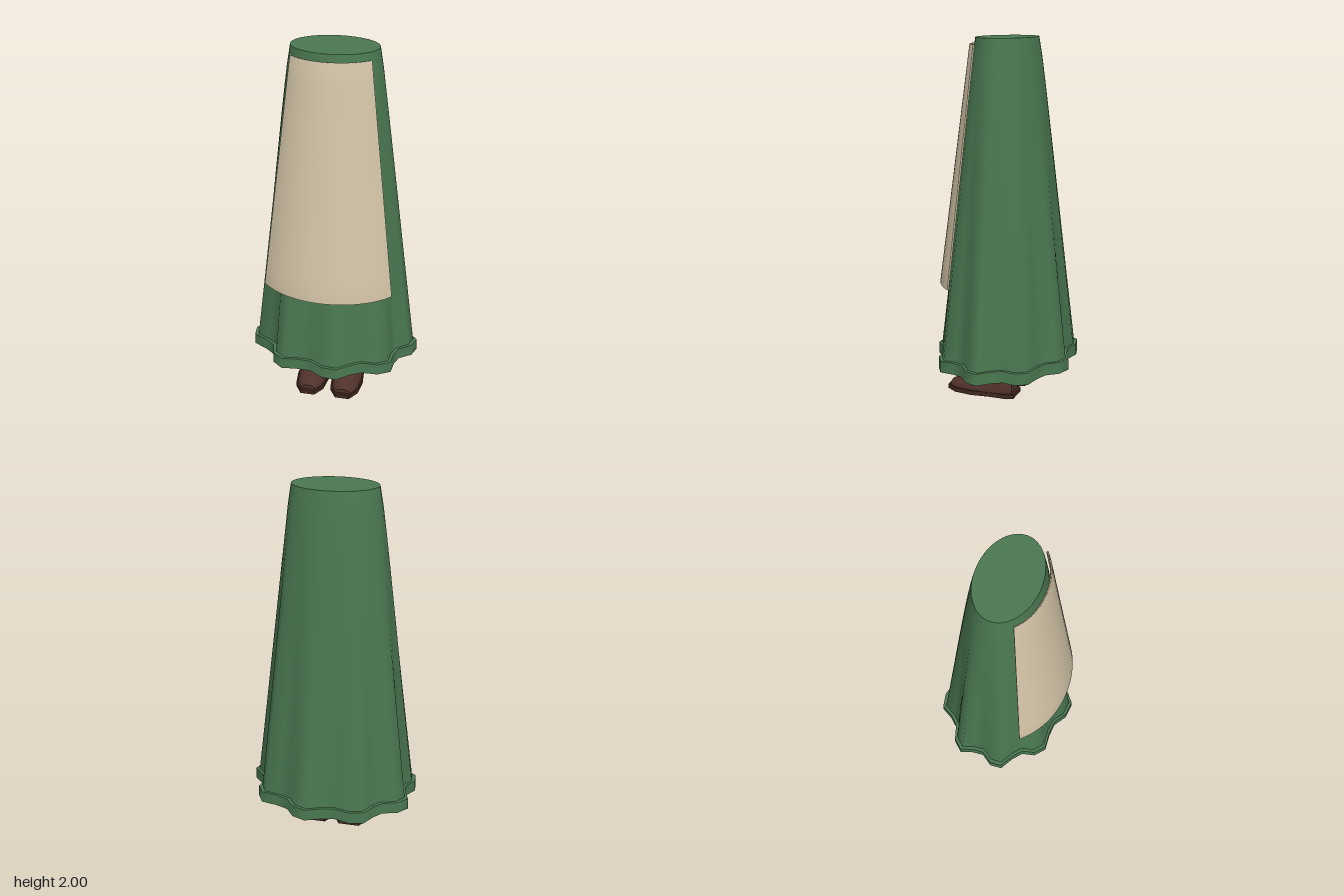
import * as THREE from 'three';

const CX = -0.01; // shared centre line of the garment

const green = new THREE.MeshStandardMaterial({ name: 'skirtGreen', color: 0x4a7850 });
const cream = new THREE.MeshStandardMaterial({ name: 'apronCream', color: 0xd4c5a8 });
const brown = new THREE.MeshStandardMaterial({ name: 'bootBrown', color: 0x50322a });
const darkBrown = new THREE.MeshStandardMaterial({ name: 'soleBrown', color: 0x42271f });

function mesh(name, geometry, material) {
  const m = new THREE.Mesh(geometry, material);
  m.name = name;
  return m;
}

// Skin a list of closed rings, with smooth sides and sharp flat caps.
function loft(rings) {
  const n = rings[0].length;
  const pos = rings.flat(2);
  const index = [];
  for (let j = 0; j < rings.length - 1; j++) {
    for (let i = 0; i < n; i++) {
      const a = j * n + i, b = j * n + (i + 1) % n;
      index.push(a, a + n, b, b, a + n, b + n);
    }
  }
  for (const end of [false, true]) {
    const ring = end ? rings[rings.length - 1] : rings[0];
    const start = pos.length / 3;
    const mid = [0, 1, 2].map((k) => ring.reduce((s, p) => s + p[k], 0) / n);
    pos.push(...ring.flat(), ...mid);
    for (let i = 0; i < n; i++) {
      const a = start + i, b = start + (i + 1) % n;
      index.push(start + n, end ? b : a, end ? a : b);
    }
  }
  const g = new THREE.BufferGeometry();
  g.setAttribute('position', new THREE.Float32BufferAttribute(pos, 3));
  g.setIndex(index);
  g.computeVertexNormals();
  return g;
}

// Elliptical ring with nine soft pleats.
function pleatedRing(y, rx, rz, pleat) {
  return Array.from({ length: 36 }, (_, i) => {
    const t = (i / 36) * Math.PI * 2;
    const wave = pleat * (0.032 * Math.cos(9 * t) + 0.018 * Math.sin(9 * t));
    const k = 1 + wave / rx;
    return [CX + rx * k * Math.cos(t), y, rz * k * Math.sin(t)];
  });
}

function skirtGeometry() {
  const rings = [];
  for (let j = 0; j <= 16; j++) {
    const d = 1 - j / 16; // 1 at the hem, 0 at the waist
    const bulge = 0.008 * Math.sin(Math.PI * Math.sqrt(d));
    rings.push(pleatedRing(2 - 1.79 * d, 0.235 + 0.201 * d + bulge,
      0.161 + 0.197 * d + bulge, Math.pow(d, 1.3)));
  }
  return loft(rings);
}

// Curved apron slab, swept sideways around the front.
function apronGeometry() {
  const rows = 10, columns = 24, rings = [];
  for (let c = 0; c <= columns; c++) {
    const t = THREE.MathUtils.degToRad(36 + (108 * c) / columns);
    const at = (v, inset) => [
      CX + (0.263 + 0.182 * v - inset) * Math.cos(t),
      1.965 - 1.305 * v,
      (0.193 + 0.172 * v - inset) * Math.sin(t),
    ];
    const ring = [];
    for (let r = 0; r <= rows; r++) ring.push(at(r / rows, 0));
    for (let r = rows; r >= 0; r--) ring.push(at(r / rows, 0.01));
    rings.push(ring);
  }
  return loft(rings);
}

// Domed boot foot: [z, height, half width]
function footGeometry() {
  const sections = [
    [-0.08, 0.09, 0.055], [-0.05, 0.12, 0.07], [0.02, 0.125, 0.077],
    [0.08, 0.105, 0.081], [0.16, 0.075, 0.084], [0.24, 0.05, 0.074], [0.295, 0.028, 0.045],
  ];
  return loft(sections.map(([z, h, w]) => Array.from({ length: 16 }, (_, i) => {
    const t = (i / 16) * Math.PI * 2;
    return [w * Math.cos(t), 0.022 + h * Math.max(0, -Math.sin(t)), z];
  })));
}

// Flat sole with a faceted outline
function soleGeometry() {
  const half = [[0.06, -0.095], [0.08, -0.06], [0.08, 0.04], [0.092, 0.15], [0.08, 0.25], [0.04, 0.312]];
  const outline = [...half, ...half.map(([x, z]) => [-x, z]).reverse()];
  const shape = new THREE.Shape(outline.map(([x, z]) => new THREE.Vector2(x, z)));
  return new THREE.ExtrudeGeometry(shape, { depth: 0.025, bevelEnabled: false })
    .rotateX(Math.PI / 2).translate(0, 0.025, 0);
}

export function createModel() {
  const model = new THREE.Group();
  model.name = 'skirtWithApron';

  model.add(mesh('skirt', skirtGeometry(), green));
  model.add(mesh('hemBand', loft([
    pleatedRing(0.187, 0.454, 0.372, 1),
    pleatedRing(0.252, 0.452, 0.37, 1),
  ]), green));
  model.add(mesh('apron', apronGeometry(), cream));

  for (const side of [-1, 1]) {
    const boot = new THREE.Group();
    boot.name = side > 0 ? 'leftBoot' : 'rightBoot';
    boot.position.x = CX + side * 0.102;
    const shaft = new THREE.CylinderGeometry(0.066, 0.07, 0.2, 16).translate(0, 0.17, -0.002);
    boot.add(
      mesh('bootShaft', shaft, brown),
      mesh('bootFoot', footGeometry(), brown),
      mesh('bootSole', soleGeometry(), darkBrown),
    );
    model.add(boot);
  }
  return model;
}
